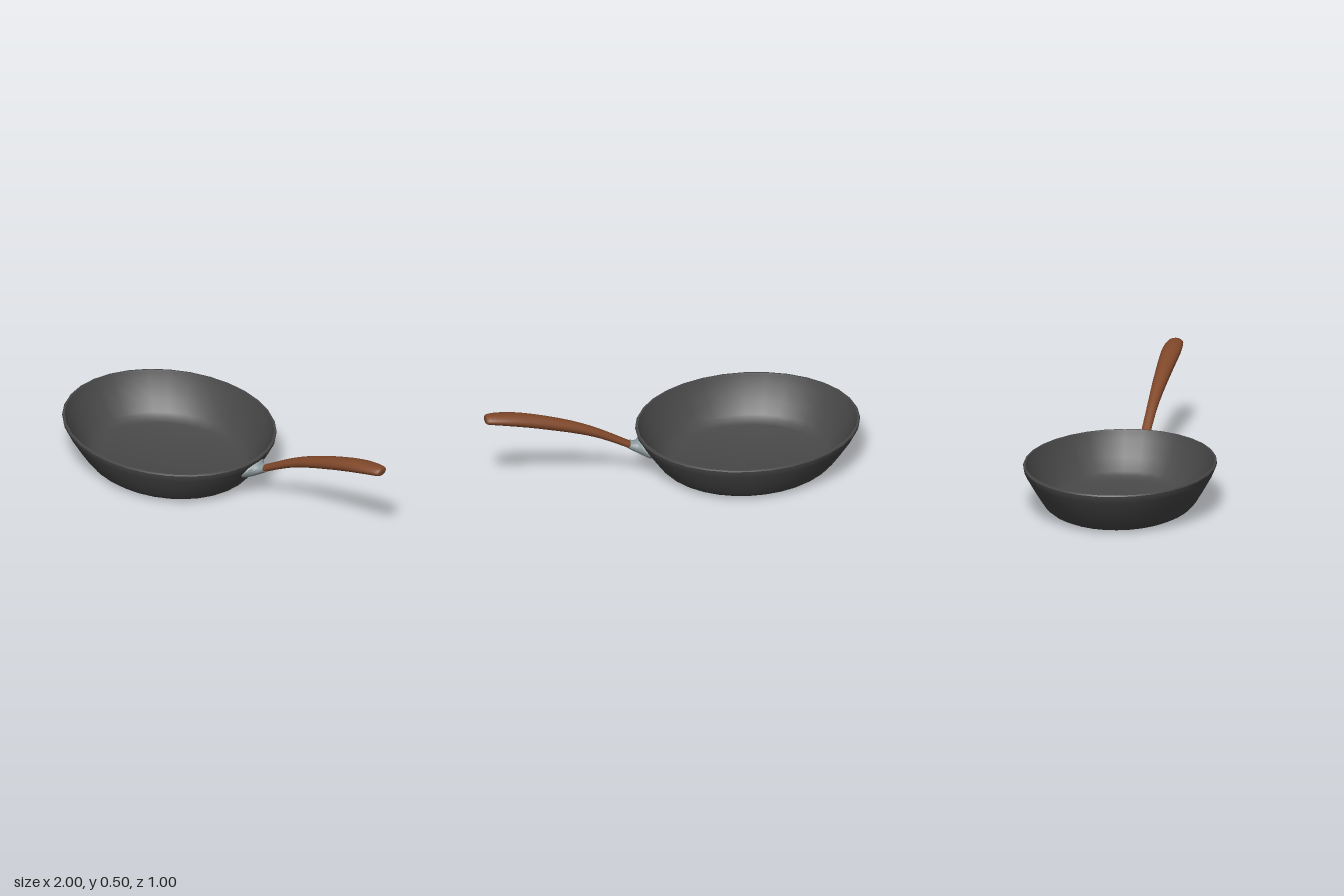
import * as THREE from 'three';
import { toCreasedNormals } from 'three/addons/utils/BufferGeometryUtils.js';

// Skin a row of elliptical rings running towards +x.
// Each ring: centre (x, y), half-height vector (ux, uy), half-width w along z.
function loft(rings, sides) {
  const pos = [], idx = [];
  for (const { x, y, ux, uy, w } of rings) {
    for (let j = 0; j < sides; j++) {
      const a = (j / sides) * Math.PI * 2, c = Math.cos(a);
      pos.push(x + ux * c, y + uy * c, w * Math.sin(a));
    }
  }
  for (let i = 0; i < rings.length - 1; i++) {
    for (let j = 0; j < sides; j++) {
      const k = (j + 1) % sides, a = i * sides + j, b = i * sides + k;
      idx.push(a, b, a + sides, b, b + sides, a + sides);
    }
  }
  // Close the far end
  const last = rings[rings.length - 1], n = pos.length / 3, s = n - sides;
  pos.push(last.x, last.y, 0);
  for (let j = 0; j < sides; j++) idx.push(n, s + j, s + ((j + 1) % sides));
  const geo = new THREE.BufferGeometry();
  geo.setAttribute('position', new THREE.Float32BufferAttribute(pos, 3));
  geo.setIndex(idx);
  geo.computeVertexNormals();
  return geo;
}

function part(name, geometry, color) {
  const mesh = new THREE.Mesh(geometry, new THREE.MeshStandardMaterial({ color, side: THREE.DoubleSide }));
  mesh.name = name;
  return mesh;
}

export function createModel() {
  const group = new THREE.Group();
  group.name = 'fryingPan';

  // Pan: outer wall up, over the rim and down the inside, stretched to an oval
  const profile = [
    [0, 0], [0.33, 0], [0.365, 0.018], [0.385, 0.035], [0.4, 0.054], [0.44, 0.12],
    [0.485, 0.2], [0.497, 0.228], [0.5, 0.242], [0.497, 0.249], [0.488, 0.25],
    [0.484, 0.24], [0.47, 0.2], [0.425, 0.12], [0.385, 0.06], [0.365, 0.042],
    [0.335, 0.028], [0, 0.022],
  ].map(([r, y]) => new THREE.Vector2(r, y));
  const panGeo = new THREE.LatheGeometry(profile, 32);
  panGeo.scale(1.18, 1, 1);
  panGeo.translate(-0.41, 0, 0);
  group.add(part('pan', toCreasedNormals(panGeo, 0.45), 0x484848));

  // Bracket: flares from the handle onto the pan wall
  const bracket = [
    { x: 0.13, y: 0.178, ux: 0.03, uy: 0.055, w: 0.085 },
    { x: 0.15, y: 0.176, ux: 0.028, uy: 0.05, w: 0.078 },
    { x: 0.172, y: 0.183, ux: 0.012, uy: 0.04, w: 0.055 },
    { x: 0.195, y: 0.194, ux: -0.002, uy: 0.029, w: 0.036 },
    { x: 0.228, y: 0.211, ux: -0.008, uy: 0.02, w: 0.029 },
  ];
  group.add(part('handleBracket', toCreasedNormals(loft(bracket, 14), 0.7), 0x8f9b9e));

  // Handle: a rising curve whose section swells towards the grip end
  // Stations: x, y, half-height, half-width
  const stations = [
    [0.215, 0.203, 0.018, 0.026], [0.3, 0.252, 0.02, 0.026], [0.4, 0.306, 0.024, 0.028],
    [0.52, 0.357, 0.03, 0.034], [0.65, 0.401, 0.034, 0.041], [0.78, 0.439, 0.034, 0.048],
    [0.88, 0.462, 0.031, 0.051], [0.95, 0.473, 0.027, 0.046], [0.985, 0.476, 0.024, 0.04],
  ];
  const path = new THREE.CatmullRomCurve3(stations.map(([x, y]) => new THREE.Vector3(x, y, 0)));
  const size = new THREE.CatmullRomCurve3(stations.map(([, , h, w]) => new THREE.Vector3(h, w, 0)), false, 'catmullrom');
  const rings = [];
  const steps = 24;
  for (let i = 0; i <= steps; i++) {
    const p = path.getPoint(i / steps), t = path.getTangent(i / steps), s = size.getPoint(i / steps);
    rings.push({ x: p.x, y: p.y, ux: -t.y * s.x, uy: t.x * s.x, w: s.y });
  }
  // Softly rounded tip
  for (const [x, h, w] of [[0.995, 0.021, 0.035], [1, 0.016, 0.027]]) {
    rings.push({ x, y: 0.476, ux: 0, uy: h, w });
  }
  group.add(part('handle', loft(rings, 16), 0x80482a));

  return group;
}
